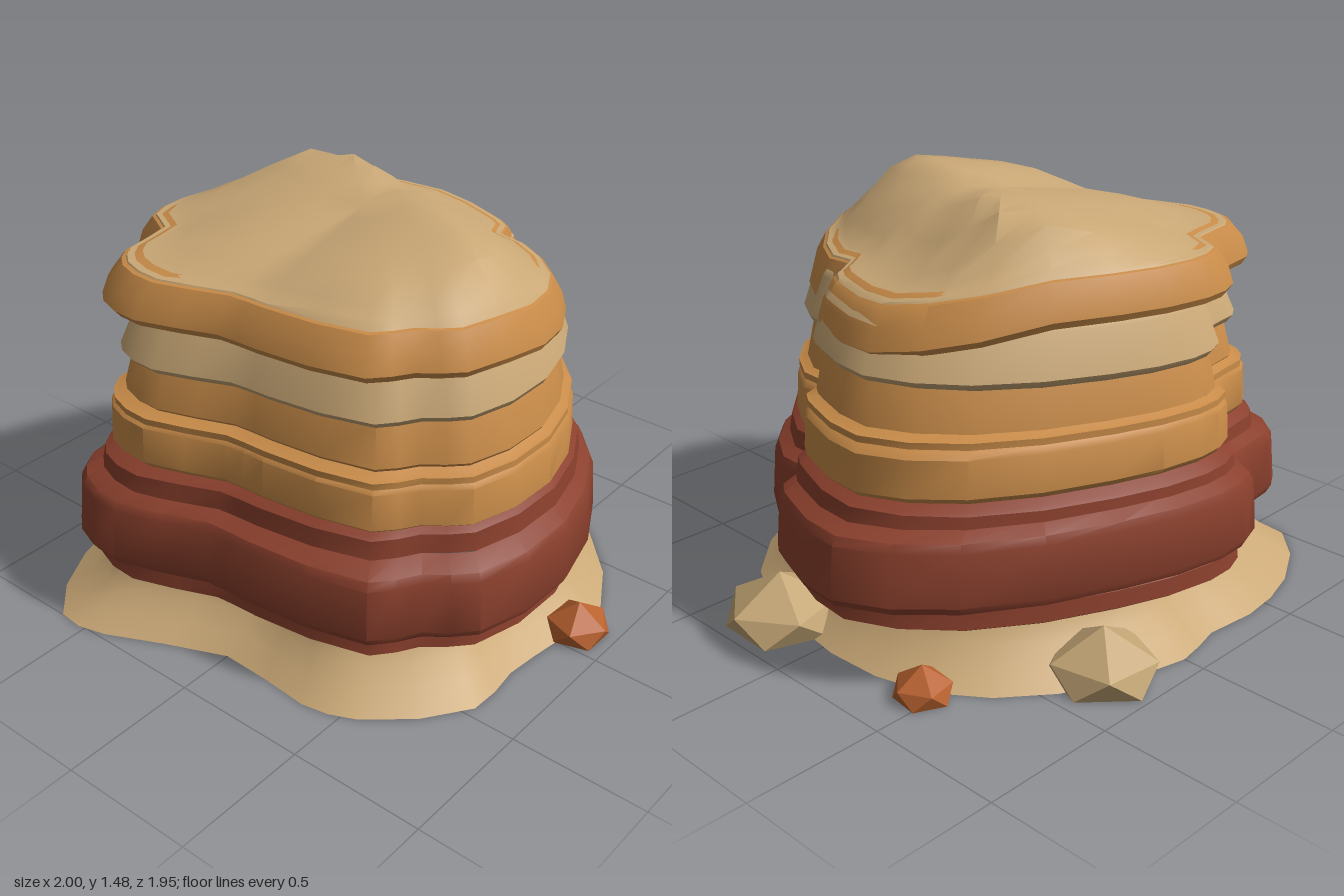
import * as THREE from 'three';
import { toCreasedNormals } from 'three/addons/utils/BufferGeometryUtils.js';

// Closed curve through a few x,z points, running back, left (+x), front, right
function outline(points, samples) {
  const curve = new THREE.CatmullRomCurve3(points.map(([x, z]) => new THREE.Vector3(x, 0, z)), true);
  return Array.from({ length: samples }, (_, i) => curve.getPoint(i / samples));
}

// Plan of the widest rock band
const PLAN = outline([
  [-0.2, -0.92], [0.2, -0.82], [0.7, -0.56], [0.94, -0.22], [0.87, 0.1], [0.8, 0.23], [0.66, 0.29],
  [0.65, 0.42], [0.42, 0.7], [0, 0.86], [-0.42, 0.8], [-0.55, 0.66], [-0.7, 0.55], [-0.79, 0.1],
  [-0.8, -0.08], [-0.92, -0.4], [-0.88, -0.61], [-0.76, -0.71], [-0.5, -0.75], [-0.42, -0.88],
], 40);

// Plan of the sand skirt on the ground
const FOOT = outline([
  [0, -0.92], [0.45, -0.76], [0.74, -0.46], [0.81, -0.05], [0.73, 0.34], [0.63, 0.58], [0.24, 0.87],
  [0, 0.84], [-0.24, 0.81], [-0.46, 0.82], [-0.75, 0.55], [-0.81, 0.36], [-0.79, 0], [-0.98, -0.42],
  [-1, -0.62], [-0.7, -0.84], [-0.4, -0.9], [-0.2, -0.88],
], 36);

const make = (name, color, side = THREE.FrontSide) => {
  const m = new THREE.MeshStandardMaterial({ color, side });
  m.name = name;
  return m;
};

// Skin through rings of points, listed from bottom to top
function loft(rings) {
  const n = rings[0].length, index = [];
  for (let j = 0; j < rings.length - 1; j++) {
    for (let i = 0; i < n; i++) {
      const a = j * n + i, b = j * n + (i + 1) % n;
      index.push(b, a, a + n, b, a + n, b + n);
    }
  }
  const geo = new THREE.BufferGeometry();
  geo.setAttribute('position', new THREE.Float32BufferAttribute(rings.flat(2), 3));
  geo.setIndex(index);
  return toCreasedNormals(geo, 0.6);
}

// The plan shrunk by k, a little less in depth than in width
const ring = (k, height, dx = 0) => PLAN.map((p) => {
  const x = p.x * k + dx;
  const z = p.z * k * (1 + 0.25 * (1 - k) / Math.max(k, 0.6));
  return [x, height(x, z), z];
});

// Summit: a ridge that falls away to the front left
const fall = (x, z) => (x - 0.1) * 0.93 + z * 0.37;
const rim = (x, z) => 1.2 - 0.2 * Math.max(0, fall(x, z));
const ridge = (x, z) => {
  const d = fall(x, z);
  const slope = 1.465 - 0.55 * Math.max(0, d - 0.03) - 0.2 * Math.max(0, -d - 0.05)
    - 0.3 * Math.max(0, x - 0.2) + 0.02 * Math.sin(7 * Math.abs(z));
  return Math.max(slope, rim(x, z) + 0.13);
};

// One rock band: lips tucked into its neighbours, bevelled edges and a wall from size k0 to k1
function band(y0, y1, k0, k1, tiltX, tiltZ) {
  const h = y1 - y0;
  const profile = [
    [k0 - 0.1, y0 - 0.03], [k0 - 0.02, y0], [k0, y0 + 0.12 * h],
    [k1, y1 - 0.12 * h], [k1 - 0.02, y1], [k1 - 0.11, y1 + 0.035],
  ];
  return loft(profile.map(([k, y]) => ring(k, (x, z) => y + tiltX * x + tiltZ * z)));
}

// Rough stone: a polyhedron standing on a corner, cut flat at the ground
function rock(r, h) {
  const geo = new THREE.IcosahedronGeometry(1, 0);
  geo.rotateZ(Math.atan(2 / (1 + Math.sqrt(5))));
  const pos = geo.attributes.position;
  for (let i = 0; i < pos.count; i++) pos.setY(i, Math.max(0, pos.getY(i)));
  geo.scale(r, h, r);
  geo.computeVertexNormals();
  return geo;
}

export function createModel() {
  const group = new THREE.Group();
  const sand = make('sand', 0xcba977, THREE.DoubleSide);
  const ochre = make('ochre', 0xc98c49, THREE.DoubleSide);
  const redRock = make('redRock', 0x8b402d, THREE.DoubleSide);
  const rust = make('rust', 0xb9622f);
  const stoneSand = make('stoneSand', 0xc4a676);

  const add = (name, geo, mat) => {
    const mesh = new THREE.Mesh(geo, mat);
    mesh.name = name;
    group.add(mesh);
    return mesh;
  };

  // Flared sand skirt
  const skirt = [0, 0.25, 0.5, 0.75, 1].map((t) => {
    const k = 0.785 + 0.215 * (1 - t) ** 1.7;
    return FOOT.map((p) => [p.x * k, 0.23 * t, p.z * k]);
  });
  add('sandSkirt', loft(skirt), sand);

  // Rock strata: bottom, top, lower size, upper size, tilt along x and z
  add('lowerRedBand', band(0.2, 0.28, 0.935, 0.925, 0.02, -0.005), redRock);
  add('mainRedBand', band(0.285, 0.525, 1, 0.98, 0.01, -0.02), redRock);
  add('upperRedBand', band(0.54, 0.625, 0.9, 0.885, 0, 0.015), redRock);
  add('lowerOchreBand', band(0.63, 0.8, 0.855, 0.845, 0, -0.011), ochre);
  add('ochreLedge', band(0.8, 0.83, 0.835, 0.835, 0.015, -0.01), ochre);
  add('upperOchreBand', band(0.82, 1.02, 0.79, 0.745, 0, 0), ochre);
  add('paleBand', band(0.995, 1.18, 0.795, 0.725, 0.02, 0.015), sand);

  // Sloping ochre cap
  const cap = [[0.66, 0], [0.79, -0.025], [0.81, 0], [0.785, 0.06], [0.735, 0.115], [0.66, 0.13]];
  add('ochreCap', loft(cap.map(([k, dy]) => ring(k, (x, z) => rim(x, z) + dy, -0.04))), ochre);

  // Sand summit, spilling over the low side of the cap and rising to the ridge
  const spill = ring(0.775, (x, z) => rim(x, z) + 0.05 + 0.12 * Math.max(0, fall(x, z) - 0.3), -0.04);
  const dome = [0.715, 0.68, 0.63, 0.54, 0.4, 0.26, 0.13, 0].map((k) => {
    const t = Math.min(1, (0.715 - k) / 0.15);
    return ring(k, (x, z) => THREE.MathUtils.lerp(rim(x, z) + 0.123, ridge(x, z), t), -0.04);
  });
  add('sandSummit', loft([spill, ...dome]), sand);

  // Faceted stones around the foot
  const addStone = (name, mat, x, z, r, h, turn) => {
    const stone = add(name, rock(r, h), mat);
    stone.position.set(x, 0, z);
    stone.rotation.y = turn;
  };
  addStone('frontStone', rust, 0.095, 0.865, 0.125, 0.13, 0.3);
  addStone('leftStone', stoneSand, 0.8, 0.23, 0.22, 0.2, 0.6);
  addStone('cornerStone', rust, 0.77, -0.46, 0.11, 0.12, 0.5);
  addStone('backStone', stoneSand, 0.27, -0.79, 0.21, 0.19, 0.2);
  return group;
}
